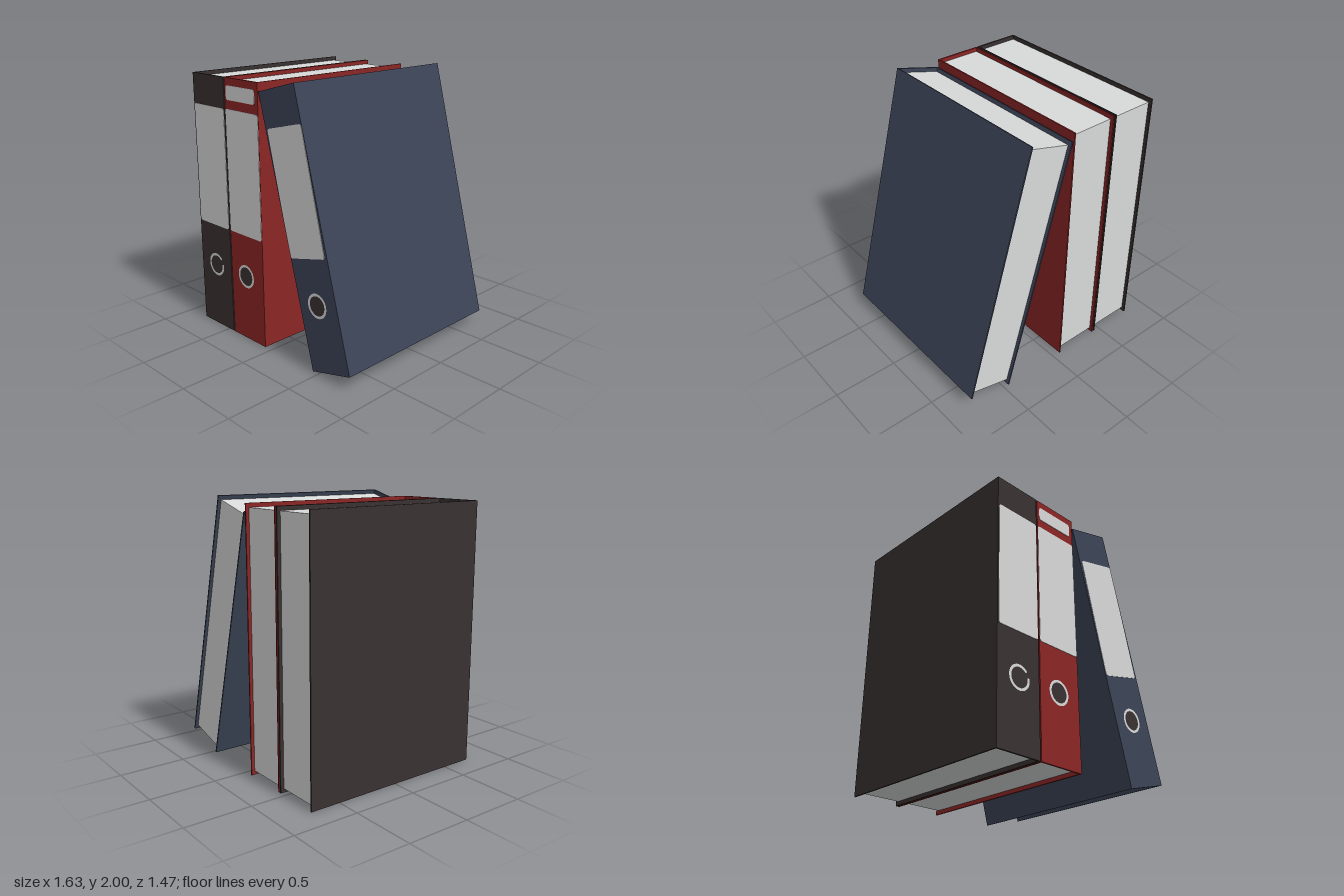
import * as THREE from 'three';

const W = 0.37, H = 1.967, D = 1.47;   // outer size of one binder
const T = 0.011, SPINE = 0.014;        // board thickness
const FRONT = D / 2;

const mat = (name, color) => {
  const m = new THREE.MeshStandardMaterial({ color });
  m.name = name;
  return m;
};

function roundedRect(w, h, r) {
  const s = new THREE.Shape(), x = w / 2, y = h / 2;
  s.moveTo(-x + r, -y);
  s.lineTo(x - r, -y).quadraticCurveTo(x, -y, x, -y + r);
  s.lineTo(x, y - r).quadraticCurveTo(x, y, x - r, y);
  s.lineTo(-x + r, y).quadraticCurveTo(-x, y, -x, y - r);
  s.lineTo(-x, -y + r).quadraticCurveTo(-x, -y, -x + r, -y);
  return s;
}

// U-shaped board: two covers joined by the spine, open at the back
function coverGeometry() {
  const x = W / 2, z = D / 2;
  const s = new THREE.Shape([
    [-x, -z], [x, -z], [x, z], [x - T, z], [x - T, -z + SPINE],
    [-x + T, -z + SPINE], [-x + T, z], [-x, z],
  ].map(([a, b]) => new THREE.Vector2(a, b)));
  return new THREE.ExtrudeGeometry(s, { depth: H, bevelEnabled: false })
    .rotateX(-Math.PI / 2).translate(0, -H / 2, 0);
}

export function createModel() {
  const model = new THREE.Group();
  model.name = 'ringBinders';

  const paper = mat('paper', 0xd8dad9);
  const label = mat('labelWhite', 0xd8d8d8);
  const black = mat('brownBlack', 0x3a3131);
  const red = mat('darkRed', 0x8c2626);
  const navy = mat('navy', 0x3c4457);

  const add = (group, name, geometry, material, x = 0, y = 0, z = 0) => {
    const mesh = new THREE.Mesh(geometry, material);
    mesh.name = name;
    mesh.position.set(x, y, z);
    group.add(mesh);
    return mesh;
  };

  // labels: [x, y, width, height, tilt]; hole: [x, y, ring start, ring sweep]
  function binder(name, color, labels, hole) {
    const g = new THREE.Group();
    g.name = name;
    add(g, 'cover', coverGeometry(), color);

    // paper block, set back from the top, bottom and open side
    const zBack = -0.71, zFront = FRONT - SPINE - 0.001;
    add(g, 'paperBlock', new THREE.BoxGeometry(W - 2 * T - 0.002, H - 0.06, zFront - zBack),
      paper, 0, 0, (zFront + zBack) / 2);

    // spine labels
    for (const [x, y, w, h, tilt] of labels) {
      const geo = new THREE.ExtrudeGeometry(roundedRect(w, h, 0.022), { depth: 0.003, bevelEnabled: false, curveSegments: 6 });
      add(g, 'spineLabel', geo, label, x, y, FRONT).rotation.z = tilt;
    }

    // finger hole with its pale rim
    const [hx, hy, start, sweep] = hole;
    add(g, 'fingerHole', new THREE.CircleGeometry(0.074, 40), black, hx, hy, FRONT + 0.002);
    add(g, 'fingerHoleRim', new THREE.RingGeometry(0.071, 0.09, 48, 1, start, sweep),
      label, hx, hy, FRONT + 0.003);
    model.add(g);
    return g;
  }

  const full = Math.PI * 2;
  binder('blackBinder', black, [[0.002, 0.301, 0.354, 0.912, 0]],
    [0.005, -0.479, 0.7, full - 0.5]).position.set(-0.63, H / 2, 0);

  binder('redBinder', red, [[0, 0.304, 0.364, 0.914, 0], [-0.008, 0.878, 0.318, 0.104, 0]],
    [-0.012, -0.476, 0, full]).position.set(-0.25, H / 2, 0);

  const leaning = binder('leaningNavyBinder', navy, [[0, 0.275, 0.346, 0.897, -0.02]],
    [-0.003, -0.502, 0, full]);
  leaning.position.set(0.378, 1.005, 0);
  leaning.rotation.z = THREE.MathUtils.degToRad(15);

  return model;
}
